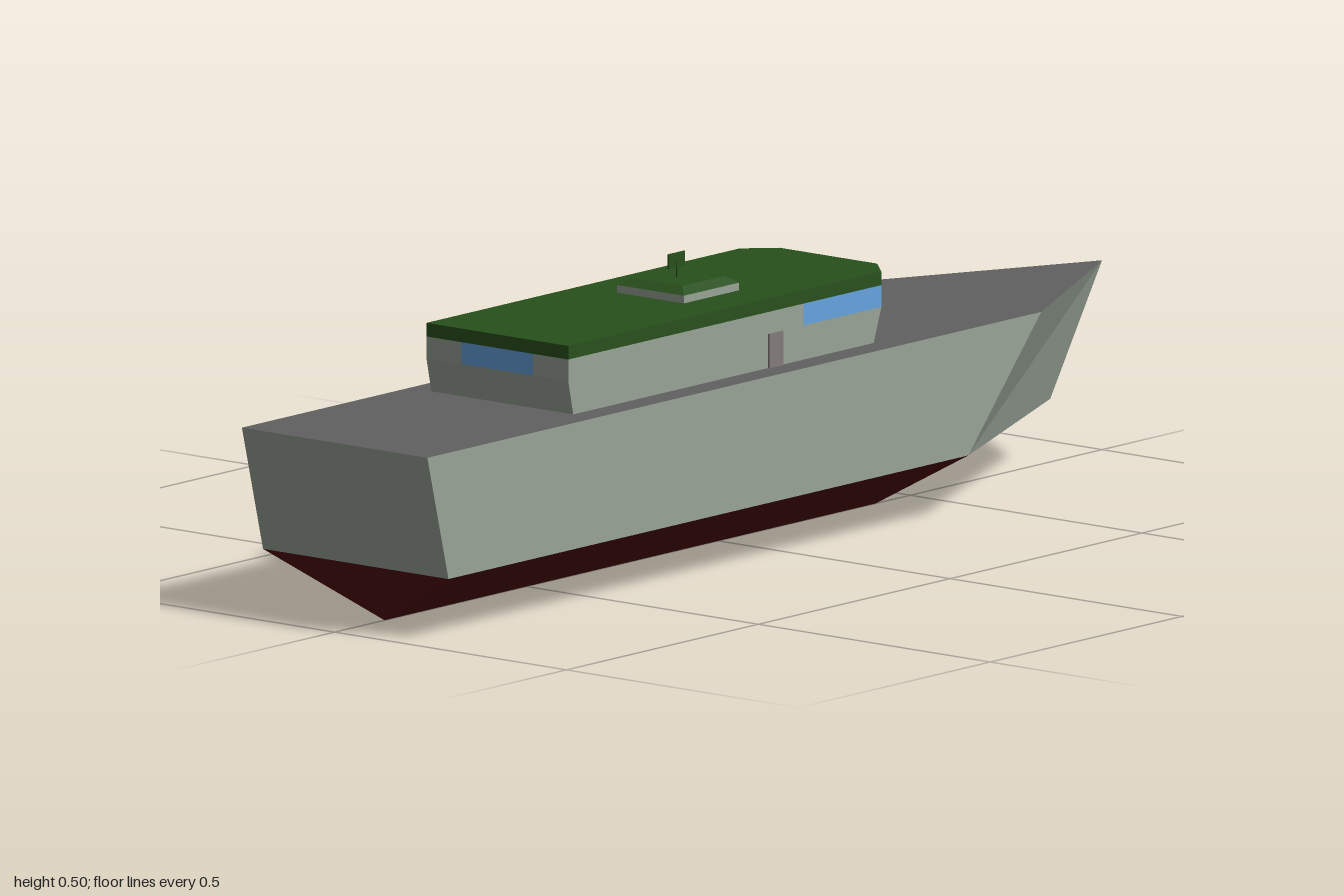
import * as THREE from 'three';

const COLORS = {
  hull: 0x98a396, bottom: 0x520808, deck: 0x606060,
  roof: 0x28501c, glass: 0x66a3e0, door: 0x857b7b,
};

const material = (color) => new THREE.MeshStandardMaterial({ color, flatShading: true });

// Outline of [x, z] points: starboard half given stern to bow, then mirrored to port
const mirrored = (half) => [
  ...half,
  ...half.slice().reverse().filter(([x]) => x !== 0).map(([x, z]) => [-x, z]),
];

const ring = (outline, y) => outline.map(([x, z]) => new THREE.Vector3(x, y, z));

function surface(name, color, triangles) {
  const points = triangles
    .filter(([a, b, c]) => !a.equals(b) && !b.equals(c) && !a.equals(c))
    .flat();
  const geometry = new THREE.BufferGeometry().setFromPoints(points);
  geometry.computeVertexNormals();
  const mesh = new THREE.Mesh(geometry, material(color));
  mesh.name = name;
  return mesh;
}

// Walls between two rings, optionally only along chosen edges
function band(lower, upper, edges = lower.map((_, i) => i)) {
  return edges.flatMap((i) => {
    const j = (i + 1) % lower.length;
    return [[lower[i], lower[j], upper[j]], [lower[i], upper[j], upper[i]]];
  });
}

// Flat top over a convex ring
const cap = (r) => r.slice(2).map((p, i) => [r[0], r[i + 1], p]);

function box(name, color, size, position) {
  const mesh = new THREE.Mesh(new THREE.BoxGeometry(...size), material(color));
  mesh.name = name;
  mesh.position.set(...position);
  return mesh;
}

export function createModel() {
  const ship = new THREE.Group();
  ship.name = 'ship';

  // Hull: keel line, chine and deck edge, pointed bow toward -z
  const keel = ring([[0, 0.87], [0, -0.41], [0, -0.41], [0, -0.41], [0, 0.87]], 0);
  const chine = ring(mirrored([[0.2, 0.945], [0.2, -0.41], [0, -0.865]]), 0.107);
  const deck = ring(mirrored([[0.2, 1], [0.2, -0.6], [0, -1]]), 0.321);
  ship.add(
    surface('hullBottom', COLORS.bottom, band(keel, chine)),
    surface('hullSides', COLORS.hull, band(chine, deck)),
    surface('deck', COLORS.deck, cap(deck)),
  );

  // Deckhouse: leaning lower walls, upright window level, roof slab
  const house = new THREE.Group();
  house.name = 'deckhouse';
  const outline = (stern, windowEnd, corner, bow) => [
    ...mirrored([[0.153, stern], [0.153, windowEnd], [0.153, corner], [0.105, bow]]),
    [-0.077, stern], [0.077, stern],
  ];
  const plan = outline(0.576, -0.037, -0.24, -0.287);
  const base = ring(outline(0.563, -0.037, -0.22, -0.257), 0.321);
  const sill = ring(plan, 0.379);
  const head = ring(plan, 0.416);
  const top = ring(plan, 0.439);
  house.add(
    surface('lowerWalls', COLORS.hull, band(base, sill)),
    surface('upperWalls', COLORS.hull, band(sill, head, [0, 6, 7, 9])),
    surface('windows', COLORS.glass, band(sill, head, [1, 2, 3, 4, 5, 8])),
    surface('roof', COLORS.roof, [...band(head, top), ...cap(top)]),
    box('starboardDoor', COLORS.door, [0.006, 0.058, 0.036], [0.153, 0.35, 0.037]),
    box('portDoor', COLORS.door, [0.006, 0.058, 0.036], [-0.153, 0.35, 0.483]),
  );
  ship.add(house);

  // Roof hatch carrying the antenna
  const square = (r, y) => ring(mirrored([[r, 0.105 + r], [r, 0.105 - r]]), y);
  const foot = square(0.072, 0.439);
  const rim = square(0.072, 0.452);
  const lid = square(0.055, 0.464);
  ship.add(
    surface('hatchBase', COLORS.hull, band(foot, rim)),
    surface('hatchLid', COLORS.roof, [...band(rim, lid), ...cap(lid)]),
    box('antennaMast', COLORS.roof, [0.002, 0.028, 0.004], [0, 0.477, 0.107]),
    box('antennaBlade', COLORS.roof, [0.003, 0.025, 0.042], [-0.002, 0.4925, 0.107]),
  );

  return ship;
}
